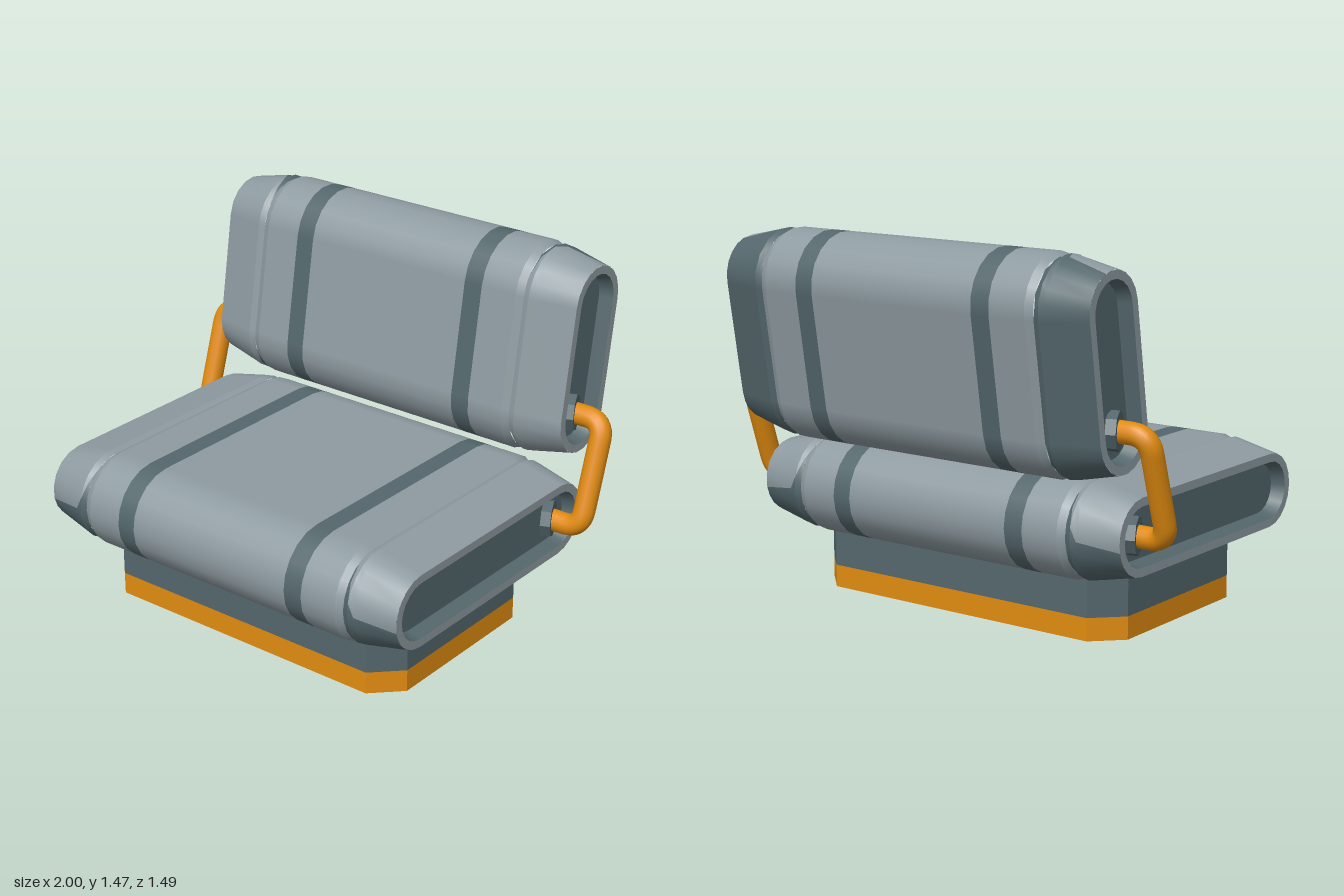
import * as THREE from 'three';

const grey = new THREE.MeshStandardMaterial({ color: 0x8e9ba1 });
grey.name = 'panel grey';
const dark = new THREE.MeshStandardMaterial({ color: 0x54676c });
dark.name = 'dark slate';
const orange = new THREE.MeshStandardMaterial({ color: 0xe18b10 });
orange.name = 'orange';

const ARC = 5; // segments per quarter turn

function add(parent, name, geometry, material) {
  const mesh = new THREE.Mesh(geometry, material);
  mesh.name = name;
  parent.add(mesh);
  return mesh;
}

// Angles running from a to b, doubled at the quarter turns where the straight sides sit
function angles(a, mid, b) {
  const out = [];
  for (let i = 0; i <= ARC; i++) out.push([a + (mid - a) * i / ARC, 0]);
  for (let i = 0; i <= ARC; i++) out.push([mid + (b - mid) * i / ARC, 1]);
  return out;
}

// Lofts stadium-shaped sections along x. stations: [x, radius, paintLine];
// part picks the whole loop, or only the side above or below the paint line.
function loft(half, stations, part = 'all') {
  const pos = [], nor = [], idx = [];
  const strip = (s0, s1, range) => {
    const dx = s1[0] - s0[0], dr = s1[1] - s0[1], len = Math.hypot(dx, dr);
    const start = pos.length / 3;
    const rows = [s0, s1].map(s => range(s));
    const n = rows[0].length;
    [s0, s1].forEach((s, k) => rows[k].forEach(([a, side]) => {
      const c = Math.cos(a), y = Math.sin(a);
      // the upper loop crosses +z to -z, the lower loop returns
      const end = (side === 0) === (rows[k].upper) ? half : -half;
      pos.push(s[0], s[1] * y, end + s[1] * c);
      nor.push(-dr / len, y * dx / len, c * dx / len);
    }));
    for (let i = 0; i < n - 1; i++) {
      const a = start + i, b = a + n;
      idx.push(a, a + 1, b, a + 1, b + 1, b);
    }
  };
  const line = s => (part === 'all' ? 0 : Math.asin(s[2] / s[1]));
  const upper = s => Object.assign(angles(line(s), Math.PI / 2, Math.PI - line(s)), { upper: true });
  const lower = s => Object.assign(angles(Math.PI - line(s), Math.PI * 1.5, Math.PI * 2 + line(s)), { upper: false });
  for (let i = 0; i < stations.length - 1; i++) {
    if (part !== 'below') strip(stations[i], stations[i + 1], upper);
    if (part !== 'above') strip(stations[i], stations[i + 1], lower);
  }
  // make every triangle face the way its normals point
  const p = i => new THREE.Vector3().fromArray(pos, i * 3);
  for (let i = 0; i < idx.length; i += 3) {
    const [a, b, c] = [idx[i], idx[i + 1], idx[i + 2]];
    const face = p(b).sub(p(a)).cross(p(c).sub(p(a)));
    if (face.dot(new THREE.Vector3().fromArray(nor, a * 3)) < 0) { idx[i + 1] = c; idx[i + 2] = b; }
  }
  const g = new THREE.BufferGeometry();
  g.setAttribute('position', new THREE.Float32BufferAttribute(pos, 3));
  g.setAttribute('normal', new THREE.Float32BufferAttribute(nor, 3));
  g.setIndex(idx);
  return g;
}

// Cushion panel: long axis z, padded face +y, half = half length of the straight sides
function createPanel(name, half) {
  const panel = new THREE.Group();
  panel.name = name;
  const R = 0.195;
  add(panel, 'centreShell', loft(half, [[-0.375, R], [0.375, R]]), grey);
  const cap = [[0.64, 0.181, 0.16], [0.65, 0.185, 0.11], [0.665, 0.19, 0.045],
    [0.69, 0.1845, -0.005], [0.855, 0.148, -0.03]];
  for (const turn of [0, Math.PI]) {
    const side = new THREE.Group();
    side.name = turn ? 'rightEnd' : 'leftEnd';
    side.rotation.y = turn;
    add(side, 'stripe', loft(half, [[0.375, R], [0.455, R]]), dark);
    add(side, 'outerShell', loft(half, [[0.455, R], [0.61, R], [0.64, 0.181]]), grey);
    add(side, 'endCapFace', loft(half, cap, 'above'), grey);
    add(side, 'endCapBacking', loft(half, cap, 'below'), dark);
    add(side, 'rim', loft(half, [[0.855, 0.148], [0.855, 0.115]]), grey);
    add(side, 'recess', loft(half, [[0.855, 0.115], [0.8, 0.1], [0.8, 0]]), dark);
    panel.add(side);
  }
  return panel;
}

// Rectangular slab with cut corners
function createSlab(y0, y1) {
  const x = 0.725, z = 0.46, c = 0.11;
  const shape = new THREE.Shape([[x, c - z], [x, z - c], [x - c, z], [c - x, z],
    [-x, z - c], [-x, c - z], [c - x, -z], [x - c, -z]].map(q => new THREE.Vector2(...q)));
  const g = new THREE.ExtrudeGeometry(shape, { depth: y1 - y0, bevelEnabled: false });
  return g.rotateX(-Math.PI / 2).translate(0, y0, 0.1);
}

// Bent tube joining the seat to the backrest
function createArm(s) {
  const arm = new THREE.Group();
  arm.name = s > 0 ? 'leftArm' : 'rightArm';
  const low = new THREE.Vector3(s * 0.957, 0.433, -0.347);
  const high = new THREE.Vector3(s * 0.957, 0.842, -0.477);
  const bend = 0.075;
  const dir = high.clone().sub(low).normalize().multiplyScalar(bend);
  const inward = new THREE.Vector3(-s * bend, 0, 0);
  const root = p => new THREE.Vector3(s * 0.79, p.y, p.z);
  const a = low.clone().add(inward), b = low.clone().add(dir);
  const c = high.clone().sub(dir), d = high.clone().add(inward);
  const path = new THREE.CurvePath();
  path.add(new THREE.LineCurve3(root(low), a));
  path.add(new THREE.QuadraticBezierCurve3(a, low, b));
  path.add(new THREE.LineCurve3(b, c));
  path.add(new THREE.QuadraticBezierCurve3(c, high, d));
  path.add(new THREE.LineCurve3(d, root(high)));
  add(arm, 'armTube', new THREE.TubeGeometry(path, 48, 0.043, 14, false), orange);
  // octagonal sockets in the panel recesses
  for (const p of [low, high]) {
    const socket = add(arm, 'armSocket', new THREE.CylinderGeometry(0.075, 0.075, 0.04, 8).toNonIndexed(), dark);
    socket.geometry.computeVertexNormals();
    socket.geometry.rotateX(Math.PI / 8).rotateZ(Math.PI / 2);
    socket.position.set(s * 0.81, p.y, p.z);
  }
  return arm;
}

export function createModel() {
  const model = new THREE.Group();
  model.name = 'benchSeat';

  add(model, 'basePlinth', createSlab(0, 0.09), orange);
  add(model, 'basePedestal', createSlab(0.09, 0.29), dark);

  const seat = createPanel('seat', 0.453);
  seat.position.set(0, 0.435, 0.0975);
  model.add(seat);

  // backrest is the same panel stood up and leaning back
  const back = createPanel('backrest', 0.225);
  back.position.set(0, 1.0575, -0.515);
  back.rotation.x = THREE.MathUtils.degToRad(81);
  model.add(back);

  for (const s of [1, -1]) model.add(createArm(s));
  return model;
}
